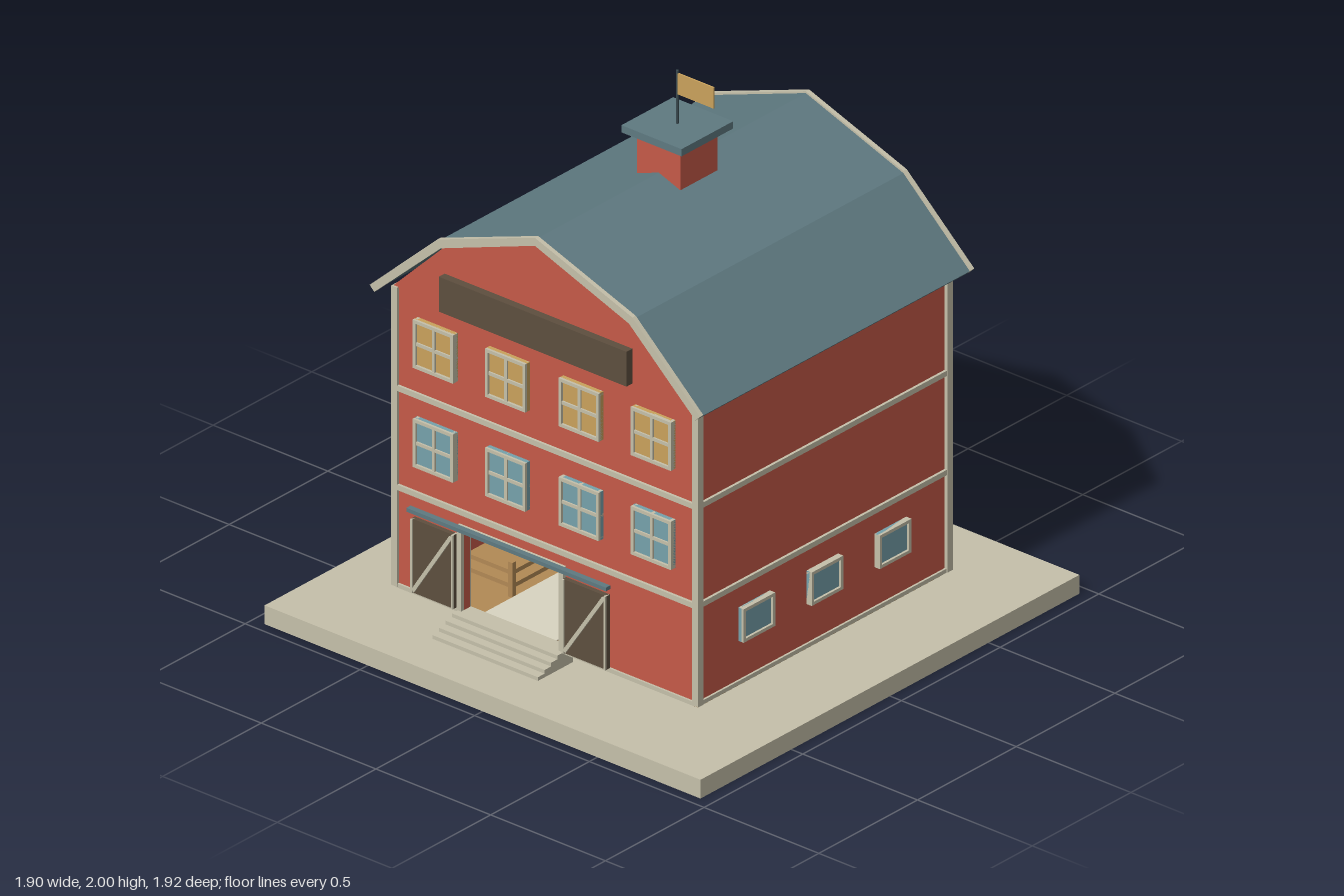
import * as THREE from 'three';

export function createModel() {
  const root = new THREE.Group();
  const mat = (name, color, extra = {}) =>
    Object.assign(new THREE.MeshStandardMaterial({ color, ...extra }), { name });
  const red = mat('barnRed', 0xc65a48);
  const trim = mat('trimStone', 0xc6c1ab);
  const slate = mat('roofSlate', 0x5f7a81);
  const dark = mat('darkTimber', 0x5e4f3f);
  const gold = mat('warmGold', 0xcaa25c);
  const glass = mat('blueGlass', 0x76a2ac);
  const wood = mat('wood', 0xb38a55);
  const metal = mat('metal', 0x3a4a50);
  const cream = mat('aisleCream', 0xdad5c2);

  const add = (parent, name, geo, m) => {
    const mesh = new THREE.Mesh(geo, m);
    mesh.name = name;
    parent.add(mesh);
    return mesh;
  };
  // Box given by its limits on each axis
  const box = (parent, name, m, x0, x1, y0, y1, z0, z1) => {
    const mesh = add(parent, name, new THREE.BoxGeometry(x1 - x0, y1 - y0, z1 - z0), m);
    mesh.position.set((x0 + x1) / 2, (y0 + y1) / 2, (z0 + z1) / 2);
    return mesh;
  };
  const group = (parent, name) => {
    const g = new THREE.Group();
    g.name = name;
    parent.add(g);
    return g;
  };
  const shapeOf = pts => new THREE.Shape(pts.map(p => new THREE.Vector2(...p)));
  const extrude = (parent, name, m, shape, z0, z1) => {
    const geo = new THREE.ExtrudeGeometry(shape, { depth: z1 - z0, bevelEnabled: false });
    return add(parent, name, geo.translate(0, 0, z0), m);
  };

  // Ground slab and floor
  box(root, 'groundSlab', trim, -0.95, 0.95, 0, 0.07, -0.96, 0.96);
  box(root, 'floor', wood, -0.645, 0.645, 0.1, 0.12, -0.62, 0.62);
  box(root, 'aisle', cream, -0.3, 0.01, 0.12, 0.124, -0.625, 0.625);
  box(root, 'ceiling', wood, -0.63, 0.63, 0.47, 0.49, -0.61, 0.61);

  // Side walls
  for (const s of [-1, 1]) {
    const x = s * 0.64;
    box(root, 'sideWall', red, x - 0.015, x + 0.015, 0.118, 1.25, -0.605, 0.605);
  }

  // Frame with pane; bars adds a cross of glazing bars. Faces +z from z = 0
  const windowUnit = (parent, w, h, pane, bars) => {
    const g = group(parent, 'window');
    const b = 0.012, f = 0.026;
    box(g, 'pane', pane, -w / 2, w / 2, -h / 2, h / 2, 0, 0.017);
    for (const s of [-1, 1]) {
      const x = s * (w - b) / 2, y = s * (h - b) / 2;
      box(g, 'frameSide', trim, x - b / 2, x + b / 2, -h / 2, h / 2, 0, f);
      box(g, 'frameEnd', trim, -w / 2, w / 2, y - b / 2, y + b / 2, 0, f);
    }
    if (bars) {
      box(g, 'barUpright', trim, -0.006, 0.006, -h / 2, h / 2, 0, 0.023);
      box(g, 'barLevel', trim, -w / 2, w / 2, -0.006, 0.006, 0, 0.023);
    }
    return g;
  };

  const gable = shapeOf([[-0.67, 1.23], [0.67, 1.23], [0.41, 1.485], [0, 1.635], [-0.41, 1.485]]);
  const barge = shapeOf([[-0.72, 1.24], [-0.7, 1.22], [-0.41, 1.482], [0, 1.632], [0.41, 1.482],
    [0.7, 1.22], [0.72, 1.24], [0.425, 1.51], [0, 1.662], [-0.425, 1.51]]);

  // Front and back ends share the same layout; d is the outward direction
  for (const d of [1, -1]) {
    const end = group(root, d > 0 ? 'frontEnd' : 'backEnd');
    const span = (a, b) => (d > 0 ? [a, b] : [-b, -a]);

    // Wall with barn door opening, and gable above
    const wall = shapeOf([[-0.655, 0.118], [-0.36, 0.118], [-0.36, 0.42], [0.065, 0.42],
      [0.065, 0.118], [0.655, 0.118], [0.655, 1.23], [-0.655, 1.23]]);
    extrude(end, 'endWall', red, wall, ...span(0.605, 0.635));
    extrude(end, 'gable', red, gable, ...span(0.605, 0.638));
    extrude(end, 'bargeBoard', trim, barge, ...span(0.678, 0.695));

    // Belt boards
    for (const y of [0.49, 0.86]) {
      box(end, 'beltBoard', trim, -0.65, 0.65, y - 0.01, y + 0.01, ...span(0.63, 0.645));
    }
    box(end, 'sillBoard', trim, -0.65, -0.36, 0.115, 0.13, ...span(0.625, 0.643));
    box(end, 'sillBoard', trim, 0.065, 0.65, 0.115, 0.13, ...span(0.625, 0.643));

    // Door frame and sliding rail
    box(end, 'doorJamb', trim, -0.38, -0.36, 0.12, 0.42, ...span(0.6, 0.65));
    box(end, 'doorJamb', trim, 0.065, 0.085, 0.12, 0.42, ...span(0.6, 0.65));
    box(end, 'doorHeader', trim, -0.38, 0.085, 0.42, 0.442, ...span(0.6, 0.65));
    box(end, 'doorRail', slate, -0.58, 0.29, 0.432, 0.446, ...span(0.65, 0.672));

    // Sliding doors with a diagonal brace
    for (const [x0, x1] of [[-0.57, -0.385], [0.09, 0.28]]) {
      const door = group(end, 'slidingDoor');
      box(door, 'doorPanel', dark, x0, x1, 0.13, 0.405, ...span(0.64, 0.658));
      for (const x of [x0, x1 - 0.008]) {
        box(door, 'doorEdge', trim, x, x + 0.008, 0.13, 0.405, ...span(0.64, 0.664));
      }
      const w = x1 - x0 - 0.02, h = 0.255;
      const brace = add(door, 'doorBrace', new THREE.BoxGeometry(Math.hypot(w, h), 0.014, 0.008), trim);
      brace.position.set((x0 + x1) / 2, 0.267, d * 0.66);
      brace.rotation.z = Math.atan2(h, w);
    }

    // Windows: gold row above, blue row below
    for (const x of [-0.475, -0.16, 0.16, 0.475]) {
      for (const [y, pane] of [[1.06, gold], [0.69, glass]]) {
        const win = windowUnit(end, 0.175, 0.18, pane, true);
        win.position.set(x, y, d * 0.634);
        if (d < 0) win.rotation.y = Math.PI;
      }
    }

    // Steps
    for (let i = 0; i < 4; i++) {
      box(end, 'step', trim, -0.375, 0.085, 0.07 + i * 0.0138, 0.0838 + i * 0.0138,
        ...span(0.6, 0.778 - i * 0.033));
    }
  }
  box(root, 'blankSign', dark, -0.41, 0.408, 1.25, 1.38, 0.675, 0.705);

  // Corner posts, side belts and side windows
  for (const s of [-1, 1]) {
    const span = (a, b) => (s > 0 ? [a, b] : [-b, -a]);
    for (const z of [-0.632, 0.632]) {
      box(root, 'cornerPost', trim, ...span(0.643, 0.669), 0.118, 1.235, z - 0.013, z + 0.013);
    }
    for (const y of [0.49, 0.86]) {
      box(root, 'sideBelt', trim, ...span(0.65, 0.665), y - 0.01, y + 0.01, -0.62, 0.62);
    }
    box(root, 'sideSill', trim, ...span(0.645, 0.663), 0.115, 0.13, -0.62, 0.62);
    for (const z of [-0.345, 0, 0.345]) {
      const win = windowUnit(root, 0.16, 0.125, glass, false);
      win.position.set(s * 0.652, 0.337, z);
      win.rotation.y = s * Math.PI / 2;
    }
  }

  // Gambrel roof
  const roof = shapeOf([[-0.715, 1.235], [-0.702, 1.222], [-0.415, 1.482], [0, 1.632], [0.415, 1.482],
    [0.702, 1.222], [0.715, 1.235], [0.425, 1.502], [0, 1.655], [-0.425, 1.502]]);
  extrude(root, 'roof', slate, roof, -0.68, 0.68);

  // Cupola with flag
  const cupola = group(root, 'cupola');
  cupola.position.z = -0.027;
  box(cupola, 'cupolaBody', red, -0.094, 0.094, 1.6, 1.762, -0.094, 0.094);
  box(cupola, 'cupolaTrim', trim, -0.106, 0.106, 1.76, 1.776, -0.106, 0.106);
  box(cupola, 'cupolaRoof', slate, -0.131, 0.131, 1.775, 1.802, -0.131, 0.131);
  add(cupola, 'flagPole', new THREE.CylinderGeometry(0.005, 0.005, 0.2, 8), metal).position.y = 1.9;
  box(cupola, 'flag', gold, 0.004, 0.16, 1.912, 1.99, -0.003, 0.003);

  // Stall fences on both sides of the aisle
  for (const [x, wallX] of [[-0.31, -0.62], [0.02, 0.62]]) {
    const fence = group(root, 'stallFence');
    for (const z of [-0.45, 0, 0.45]) {
      box(fence, 'fencePost', wood, x - 0.009, x + 0.009, 0.12, 0.25, z - 0.009, z + 0.009);
      for (const y of [0.16, 0.21]) {
        box(fence, 'crossRail', wood, Math.min(x, wallX), Math.max(x, wallX),
          y - 0.008, y + 0.008, z - 0.005, z + 0.005);
      }
    }
    for (const y of [0.16, 0.21]) {
      box(fence, 'aisleRail', wood, x - 0.005, x + 0.005, y - 0.008, y + 0.008, -0.45, 0.45);
    }
  }

  // Hanging lamp
  box(root, 'lampCord', metal, -0.152, -0.146, 0.42, 0.475, -0.003, 0.003);
  box(root, 'lamp', gold, -0.166, -0.132, 0.404, 0.424, -0.017, 0.017);

  return root;
}
